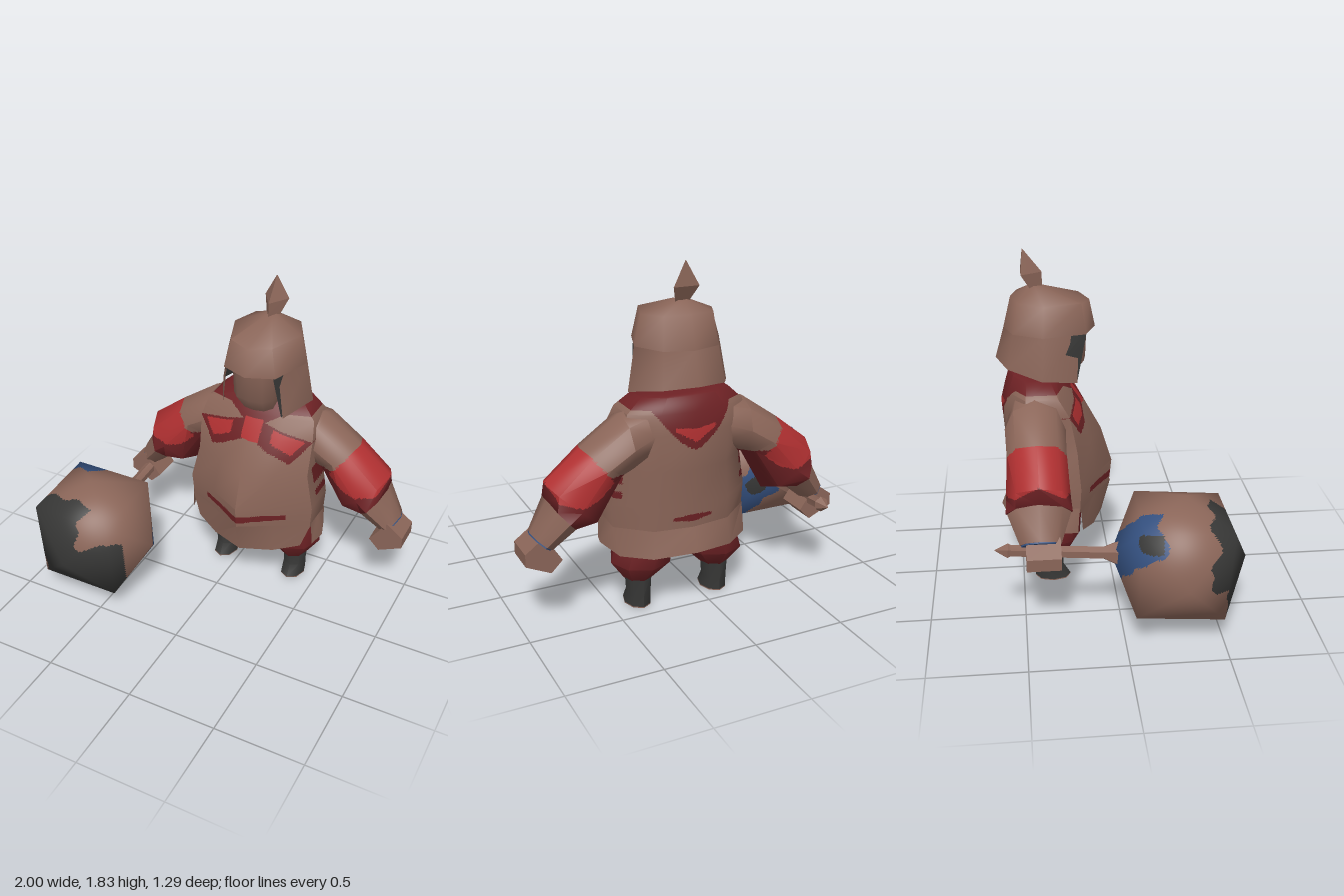
import * as THREE from 'three';
import { toCreasedNormals } from 'three/addons/utils/BufferGeometryUtils.js';
import { ConvexGeometry } from 'three/addons/geometries/ConvexGeometry.js';

const mat = (name, color) => {
  const m = new THREE.MeshStandardMaterial({ color, side: THREE.DoubleSide });
  m.name = name;
  return m;
};

// Skin over rings of [x, y, z] points; closed rings get end caps and face outward
function loft(rings, closed = true, crease = 0.9) {
  const n = rings[0].length, tris = [];
  for (let r = 0; r < rings.length - 1; r++) {
    for (let i = 0; i < (closed ? n : n - 1); i++) {
      const j = (i + 1) % n, lo = rings[r], hi = rings[r + 1];
      tris.push([lo[i], lo[j], hi[j]], [lo[i], hi[j], hi[i]]);
    }
  }
  if (closed) {
    [rings[0], rings[rings.length - 1]].forEach((ring, end) => {
      const c = [0, 1, 2].map(k => ring.reduce((s, p) => s + p[k], 0) / n);
      ring.forEach((p, i) => {
        const q = ring[(i + 1) % n];
        tris.push(end ? [p, q, c] : [q, p, c]);
      });
    });
    const V = p => new THREE.Vector3(...p);
    const volume = tris.reduce((s, [a, b, c]) => s + V(a).dot(V(b).cross(V(c))), 0);
    if (volume < 0) tris.forEach(t => t.reverse());
  }
  const g = new THREE.BufferGeometry();
  g.setAttribute('position', new THREE.Float32BufferAttribute(tris.flat(2), 3));
  g.computeVertexNormals();
  return toCreasedNormals(g, crease);
}

// Divide each face into n*n small ones and give each the material picked by rule(x, y, z)
function paint(geo, n, materials, rule) {
  const P = geo.attributes.position, N = geo.attributes.normal;
  const bins = materials.map(() => ({ p: [], n: [] }));
  const v = [0, 1, 2].map(() => new THREE.Vector3()), w = v.map(() => new THREE.Vector3());
  const at = (a, i, j) => a[0].clone().multiplyScalar(1 - (i + j) / n)
    .addScaledVector(a[1], i / n).addScaledVector(a[2], j / n);
  for (let f = 0; f < P.count; f += 3) {
    v.forEach((p, k) => p.fromBufferAttribute(P, f + k));
    w.forEach((p, k) => p.fromBufferAttribute(N, f + k));
    const emit = corners => {
      const pts = corners.map(c => at(v, ...c));
      const c = pts[0].clone().add(pts[1]).add(pts[2]).divideScalar(3);
      const bin = bins[rule(c.x, c.y, c.z)];
      pts.forEach(p => bin.p.push(p.x, p.y, p.z));
      corners.forEach(k => bin.n.push(...at(w, ...k).normalize().toArray()));
    };
    for (let i = 0; i < n; i++) for (let j = 0; j < n - i; j++) {
      emit([[i, j], [i + 1, j], [i, j + 1]]);
      if (i + j < n - 1) emit([[i + 1, j], [i + 1, j + 1], [i, j + 1]]);
    }
  }
  const out = new THREE.BufferGeometry();
  let start = 0;
  bins.forEach((b, k) => {
    if (b.p.length) out.addGroup(start, b.p.length / 3, k);
    start += b.p.length / 3;
  });
  out.setAttribute('position', new THREE.Float32BufferAttribute(bins.flatMap(b => b.p), 3));
  out.setAttribute('normal', new THREE.Float32BufferAttribute(bins.flatMap(b => b.n), 3));
  return out;
}

// Ring helpers
const flip = half => half.filter(p => p[0] !== 0).reverse().map(([x, y, z]) => [-x, y, z]);
const ringOf = half => [...half, ...flip(half)];
const oval = (y, cx, cz, rx, rz, n = 8) => Array.from({ length: n }, (_, i) => {
  const a = i / n * Math.PI * 2;
  return [cx + rx * Math.sin(a), y, cz + rz * Math.cos(a)];
});
const torsoRing = ([y, w, front, back, corner]) => ringOf(
  [[0, 1], [0.5, 0.35 + corner * 0.9], [1, corner], [1, -0.4], [0.55, -0.9], [0, -1]].map(
    ([u, k]) => [u * w, y, (front + back) / 2 + k * (front - back) / 2]));
// Arm ring spanned by an upper point, a lower point and a depth
const armRing = s => ([ux, uy, lx, ly, d]) => Array.from({ length: 8 }, (_, i) => {
  const a = i / 8 * Math.PI * 2, c = Math.cos(a);
  return [s * ((ux + lx) / 2 + c * (ux - lx) / 2), (uy + ly) / 2 + c * (uy - ly) / 2,
    -0.415 + d * Math.sin(a)];
});

export function createModel() {
  const brown = mat('brown cloth', 0x8a6558), maroon = mat('dark red', 0x6c2124);
  const red = mat('bright red', 0xb03031), black = mat('charcoal', 0x373736), blue = mat('blue', 0x34507f);
  const model = new THREE.Group();
  const body = new THREE.Group();
  body.name = 'figure';
  body.position.x = 0.125;
  model.add(body);
  const add = (name, geo, material, parent = body) => {
    const m = new THREE.Mesh(geo, material);
    m.name = name;
    parent.add(m);
  };

  // Tunic with scarf, bow and belt marks
  const tunicRule = (x, y, z) => {
    const ax = Math.abs(x);
    if (ax > 0.32 && z < -0.26 && z > -0.42 && (Math.abs(y - 0.66) < 0.02 || Math.abs(y - 0.77) < 0.05)) return 1;
    if (z > -0.4) {
      const top = 1.08 - 0.23 * ax;
      const low = ax < 0.24 ? 0.99 - 0.5 * ax : 0.87 + 1.3 * (ax - 0.24);
      if (ax < 0.055 && y > 0.97 && y < 1.08) return 2;
      if (y < top && y > low) return ax > 0.12 && y > low + 0.05 && y < top - 0.01 ? 2 : 1;
      if (y > Math.min(1.03 + 0.55 * ax, 1.12)) return 1;
      if (ax < 0.25 && y > 0.495 + 0.1 * ax && y < 0.54 + 0.05 * ax) return 1;
    } else {
      if (ax < 0.11 && y > 0.95 + 0.6 * ax && y < 1.02 + 0.1 * ax) return 2;
      if (y > Math.min(0.91 + 2.1 * ax ** 1.5, 1.12)) return 1;
      if (z < -0.48 && ax < 0.11 && Math.abs(y - 0.53) < 0.02 * (1 - ax * 6)) return 1;
    }
    return 0;
  };
  const torso = loft([
    [0.46, 0.37, 0.005, -0.555, 0.31], [0.6, 0.38, 0.02, -0.56, 0.31], [0.8, 0.335, -0.04, -0.575, 0.42],
    [1.0, 0.34, -0.155, -0.59, 0.65], [1.1, 0.32, -0.22, -0.565, 0.6], [1.175, 0.24, -0.26, -0.535, 0.5],
    [1.185, 0.16, -0.27, -0.51, 0.5],
  ].map(torsoRing));
  add('tunic', paint(torso, 19, [brown, maroon, red], tunicRule), [brown, maroon, red]);

  // Split skirt: front panel and flared back panel
  const panel = half => [...flip(half), ...half];
  add('skirtFront', loft([
    panel([[0, 0.285, -0.04], [0.185, 0.295, -0.1], [0.325, 0.33, -0.17]]),
    panel([[0, 0.475, 0.012], [0.187, 0.475, -0.095], [0.374, 0.475, -0.183]]),
  ], false), brown);
  add('skirtBack', loft([
    ringOf([[0.385, 0.345, -0.2], [0.41, 0.36, -0.29], [0.36, 0.335, -0.44], [0.22, 0.335, -0.55], [0, 0.355, -0.61]]),
    ringOf([[0.376, 0.49, -0.19], [0.376, 0.49, -0.29], [0.375, 0.48, -0.387], [0.208, 0.48, -0.532], [0, 0.48, -0.56]]),
  ], false), brown);

  // Arms and legs, mirrored
  const sleeveRule = (x, y, z) => {
    const ax = Math.abs(x), t = ax * 0.78 - y * 0.63, s = ax * 0.63 + y * 0.78;
    if (t < -0.17 - Math.max(0, 0.92 - s) * 1.2) return 0;
    return t > -0.17 && s > 0.88 && y > 0.805 - Math.abs(z + 0.415) * 0.65 ? 2 : 1;
  };
  for (const [side, s] of [['left', 1], ['right', -1]]) {
    const limb = rows => loft(rows.map(armRing(s)));
    add(side + 'Sleeve', paint(limb([
      [0.18, 1.13, 0.2, 0.86, 0.13], [0.34, 1.1, 0.31, 0.8, 0.16], [0.555, 0.95, 0.345, 0.79, 0.155],
      [0.745, 0.8, 0.475, 0.56, 0.165], [0.735, 0.705, 0.61, 0.56, 0.17],
    ]), 16, [brown, maroon, red], sleeveRule), [brown, maroon, red]);
    add(side + 'Forearm', limb([[0.735, 0.71, 0.6, 0.56, 0.165], [0.825, 0.55, 0.72, 0.46, 0.105]]), brown);
    add(side + 'WristLining', limb([[0.824, 0.549, 0.721, 0.461, 0.1], [0.828, 0.543, 0.725, 0.455, 0.1]]), blue);
    const fist = new THREE.Shape([[0.685, 0.41], [0.78, 0.545], [0.875, 0.475], [0.875, 0.41], [0.745, 0.35]]
      .map(([x, y]) => new THREE.Vector2(s * x, y)));
    add(side + 'Hand', new THREE.ExtrudeGeometry(fist, { depth: 0.175, bevelEnabled: false }).translate(0, 0, -0.49), brown);
    add(side + 'Trouser', loft([
      oval(0.155, s * 0.225, -0.34, 0.075, 0.09), oval(0.26, s * 0.21, -0.35, 0.165, 0.17),
      oval(0.36, s * 0.185, -0.345, 0.16, 0.175), oval(0.52, s * 0.15, -0.34, 0.14, 0.17),
    ]), maroon);
    add(side + 'Boot', loft([
      oval(0.006, s * 0.225, -0.335, 0.07, 0.098), oval(0.07, s * 0.225, -0.355, 0.066, 0.078),
      oval(0.18, s * 0.225, -0.355, 0.075, 0.08),
    ]), black);
    add(side + 'Sole', loft([oval(0, s * 0.225, -0.335, 0.07, 0.098), oval(0.006, s * 0.225, -0.335, 0.07, 0.098)]), brown);
  }

  // Head: face, open hood with dark lining, brow and crown
  const faceRing = ([y, w, z]) => ringOf([[0, y, z], [w * 0.65, y, z - 0.012], [w, y, z - 0.06], [w, y, -0.42], [0, y, -0.45]]);
  add('face', loft([[1.14, 0.09, -0.19], [1.23, 0.115, -0.125], [1.41, 0.12, -0.115]].map(faceRing)), brown);
  add('hoodSides', loft([
    ringOf([[0.18, 1.14, -0.18], [0.275, 1.185, -0.37], [0.17, 1.225, -0.55], [0, 1.24, -0.61]]),
    ringOf([[0.15, 1.41, -0.17], [0.235, 1.41, -0.36], [0.15, 1.41, -0.515], [0, 1.41, -0.562]]),
  ], false, 1.2), brown);
  add('hoodLining', loft([
    ringOf([[0.17, 1.145, -0.18], [0.262, 1.19, -0.37], [0.16, 1.23, -0.53], [0, 1.245, -0.59]]),
    ringOf([[0.138, 1.41, -0.125], [0.22, 1.41, -0.36], [0.14, 1.41, -0.5], [0, 1.41, -0.545]]),
  ], false), black);
  add('hoodCrown', loft([
    ringOf([[0, 1.4, -0.07], [0.15, 1.4, -0.13], [0.235, 1.41, -0.36], [0.15, 1.41, -0.515], [0, 1.41, -0.562]]),
    ringOf([[0, 1.55, -0.1], [0.12, 1.56, -0.15], [0.195, 1.565, -0.35], [0.135, 1.575, -0.485], [0, 1.58, -0.52]]),
    ringOf([[0, 1.63, -0.35], [0.02, 1.633, -0.36], [0.03, 1.635, -0.39], [0.02, 1.633, -0.42], [0, 1.63, -0.43]]),
  ], true, 1.2), brown);
  add('finial', loft([oval(1.615, 0, -0.39, 0.04, 0.04, 3), oval(1.705, 0, -0.425, 0.08, 0.075, 3),
    oval(1.83, 0, -0.45, 0.002, 0.002, 3)], true, 0.3), brown);

  // Ball-headed mace held in the right hand: the ball is a swollen cube
  const mace = new THREE.Group();
  mace.name = 'mace';
  mace.position.set(-0.63, 0.4, 0.29);
  mace.rotation.x = 0.08;
  model.add(mace);
  const knots = [];
  for (const a of [-1, 1]) {
    knots.push([a * 0.37, 0, 0], [0, a * 0.336, 0], [0, 0, a * 0.352]);
    for (const b of [-1, 1]) for (const c of [-1, 1]) knots.push([a * 0.23, b * 0.24, c * 0.225]);
  }
  const ball = new ConvexGeometry(knots.map(p => new THREE.Vector3(...p)));
  const ballRule = (x, y, z) => {
    const wob = 0.018 * Math.sin(x * 31 + y * 17) + 0.012 * Math.sin(y * 53 - x * 20);
    const bare = (x > 0.07 + wob && y > 0.11 + wob) || (x < -0.22 + wob && y < -0.07);
    if (z > 0.13 + wob && x < 0.275 && y > -0.28 && !bare) return 1;
    if (z < -0.13 && Math.hypot(x + 0.24, y - 0.18) < 0.05) return 1;
    if (z < -0.25 && Math.hypot(x - 0.06, y + 0.05) < 0.06 + wob) return 1;
    if (z < -0.13 + wob && Math.abs(x + y) < 0.17 + wob) return 2;
    return 0;
  };
  const ballColours = [brown, black, blue];
  add('maceBall', paint(toCreasedNormals(ball, 1.4), 30, ballColours, ballRule), ballColours, mace);
  const shaft = [[0.3, 0.075], [0.385, 0.035], [0.86, 0.033], [0.875, 0.042], [0.94, 0.002]];
  add('maceHandle', loft(shaft.map(([y, r]) => oval(y, 0, 0, r, r, 6))).rotateX(-Math.PI / 2), brown, mace);

  return model;
}
